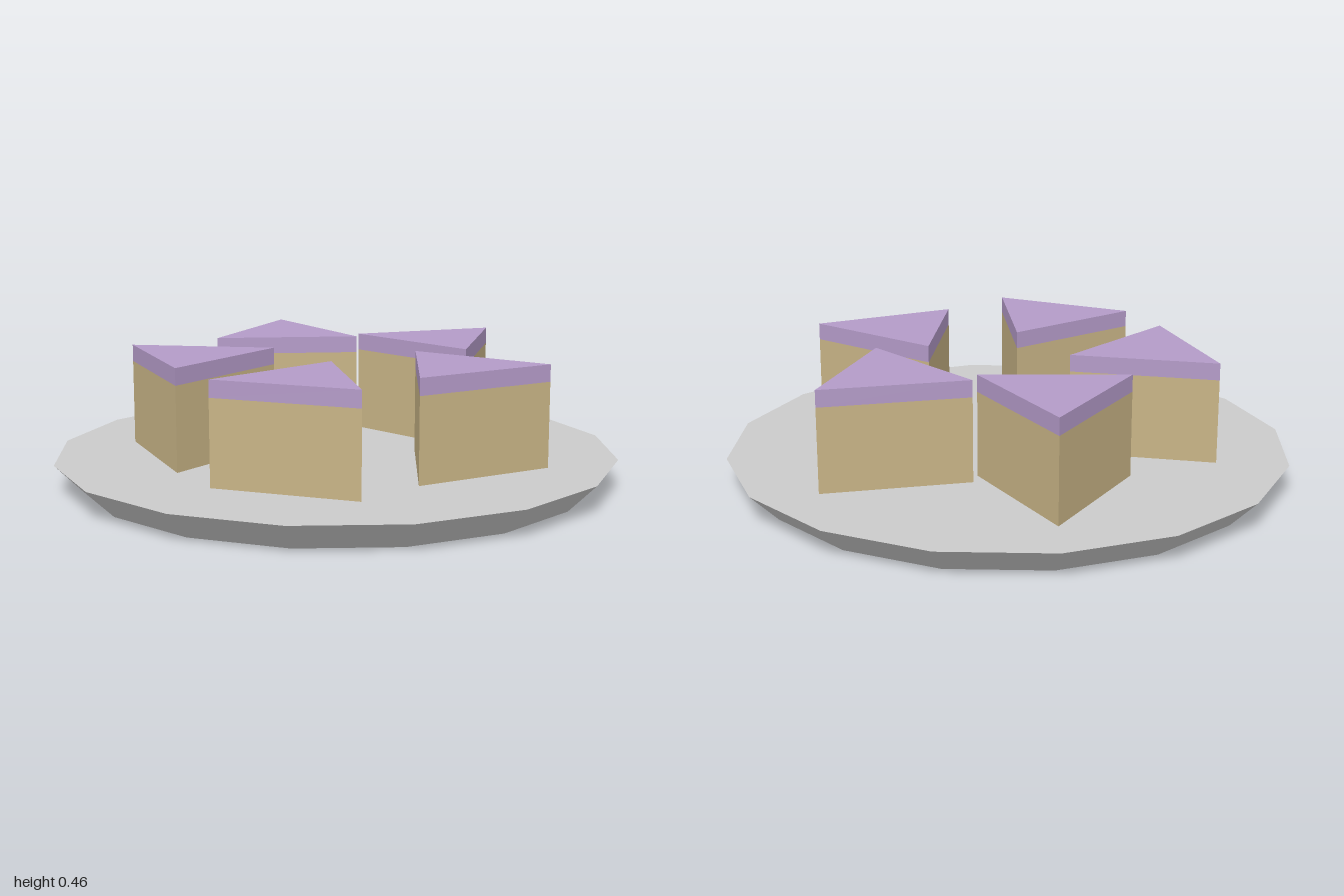
import * as THREE from 'three';

const material = (color) => new THREE.MeshStandardMaterial({ color, flatShading: true });

// A straight-sided prism standing on the height y
function prism(name, topRadius, bottomRadius, height, sides, y, mat) {
  const geometry = new THREE.CylinderGeometry(topRadius, bottomRadius, height, sides);
  const mesh = new THREE.Mesh(geometry, mat);
  mesh.name = name;
  mesh.position.y = y + height / 2;
  return mesh;
}

export function createModel() {
  const model = new THREE.Group();
  model.name = 'cakePlate';
  const plateMat = material(0xcccccc);
  const spongeMat = material(0xc8b486);
  const icingMat = material(0xb49bc8);

  // Plate flaring out to its rim
  model.add(prism('plate', 1, 0.9, 0.1, 16, 0, plateMat));

  // Ring of five triangular cake slices, each turned as it goes round
  const count = 5;
  for (let i = 0; i < count; i++) {
    const angle = (i / count) * Math.PI * 2;
    const slice = new THREE.Group();
    slice.name = `cakeSlice${i + 1}`;
    slice.add(prism('sponge', 0.3, 0.3, 0.3, 3, 0, spongeMat));
    slice.add(prism('icing', 0.3, 0.3, 0.06, 3, 0.3, icingMat));
    slice.position.set(Math.cos(angle) * 0.5, 0.1, Math.sin(angle) * 0.5);
    slice.rotation.y = angle;
    model.add(slice);
  }
  return model;
}
